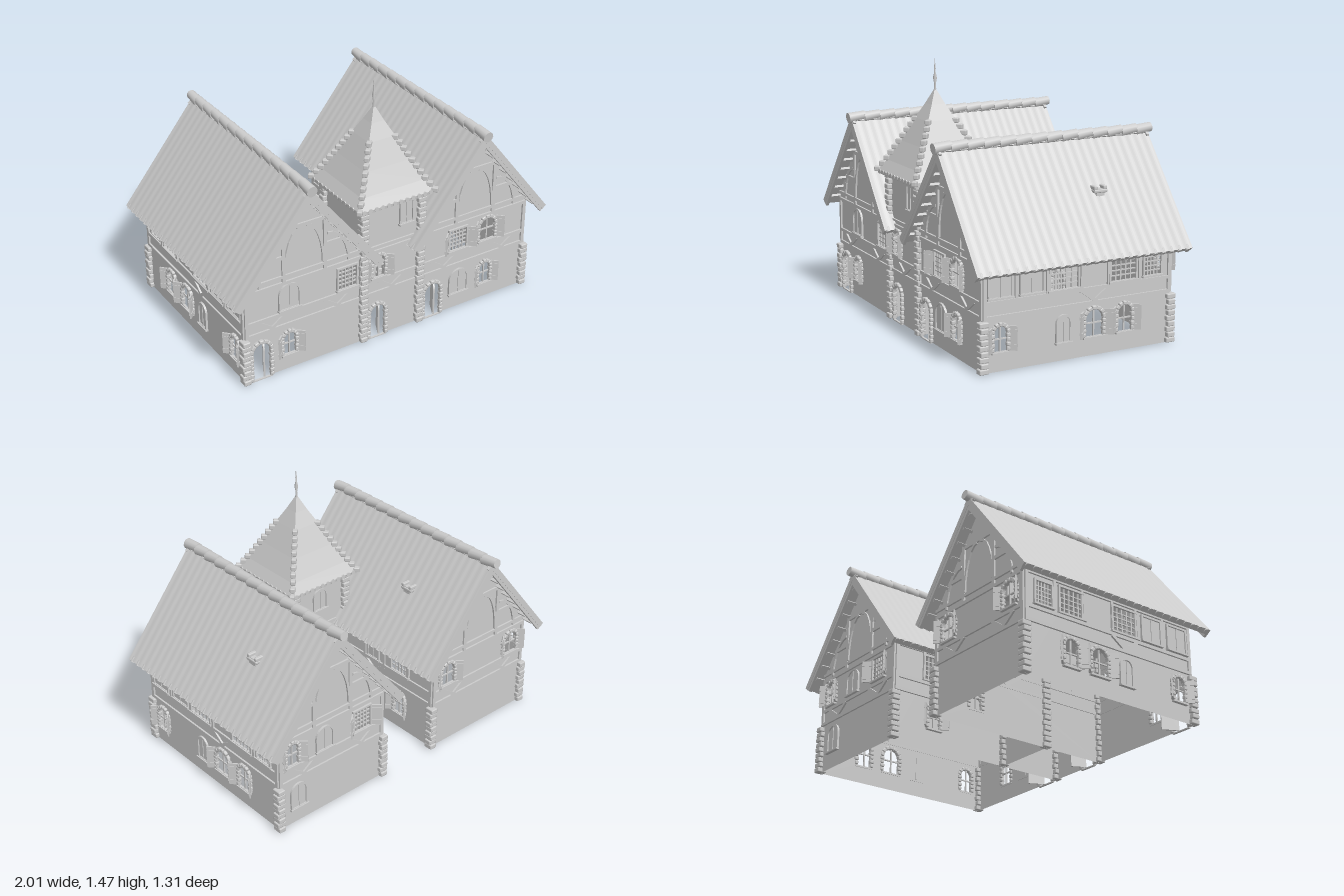
import * as THREE from 'three';
import { mergeGeometries } from 'three/addons/utils/BufferGeometryUtils.js';
import { RoundedBoxGeometry } from 'three/addons/geometries/RoundedBoxGeometry.js';

const stoneGrey = new THREE.MeshStandardMaterial({ color: 0xcccccc, side: THREE.DoubleSide });
stoneGrey.name = 'pale grey';

const CX = 0.548, HALF = 0.36, FRONT = 0.56, BACK = -0.552;   // house footprint
const RISE = 0.565, RUN = 0.452, RIDGE = 1.09;                // roof pitch
const MIDZ = (FRONT + BACK) / 2, DEPTH = FRONT - BACK;
const TOWER_Z = 0.37;

// Collects transformed geometries under part names, merged into one mesh per part
const add = (bin, part, geo, x = 0, y = 0, z = 0, rx = 0, ry = 0, rz = 0) => {
  const g = geo.index ? geo.toNonIndexed() : geo;
  g.clearGroups();
  g.applyMatrix4(new THREE.Matrix4().makeRotationFromEuler(new THREE.Euler(rx, ry, rz)).setPosition(x, y, z));
  (bin[part] ||= []).push(g);
};
const finish = (group, bin) => {
  for (const part in bin) {
    const mesh = new THREE.Mesh(mergeGeometries(bin[part]), stoneGrey);
    mesh.name = part;
    group.add(mesh);
  }
  return group;
};
const box = (w, h, d) => new THREE.BoxGeometry(w, h, d);
const stone = (w, h, d) => new RoundedBoxGeometry(w, h, d, 1, 0.006);
const bar = (bin, x1, y1, x2, y2, w = 0.02, d = 0.012) =>
  add(bin, 'timber', box(Math.hypot(x2 - x1, y2 - y1), w, d), (x1 + x2) / 2, (y1 + y2) / 2, 0.004, 0, 0, Math.atan2(y2 - y1, x2 - x1));

// Round-headed or square opening outline
const outline = (x, y, w, h, round, Kind = THREE.Shape) => {
  const s = new Kind(), r = w / 2;
  s.moveTo(x - r, y); s.lineTo(x + r, y);
  if (round) s.absarc(x, y + h - r, r, 0, Math.PI, false);
  else { s.lineTo(x + r, y + h); s.lineTo(x - r, y + h); }
  s.closePath();
  return s;
};
const plate = (shape, depth) => new THREE.ExtrudeGeometry(shape, { depth, bevelEnabled: false, curveSegments: 8 });

// Opening kinds: shut = arched with open shutters, gridShut, grid, closed, panel, door
function opening(bin, wall, [kind, x, y, w, h]) {
  const round = kind === 'shut' || kind === 'door' || kind === 'closed';
  const hollow = kind !== 'closed' && kind !== 'panel';
  const frame = outline(x, y - 0.005, w + 0.022, h + 0.016, round);
  frame.holes.push(outline(x, y + 0.001, w, h, round, THREE.Path));
  add(bin, 'frames', plate(frame, 0.012), 0, 0, 0);
  if (hollow) wall.holes.push(outline(x, y + 0.001, w, h, round, THREE.Path));
  else {
    add(bin, 'shutters', plate(outline(x, y, w, h, round), 0.005));
    add(bin, 'shutters', box(0.005, h, 0.012), x, y + h / 2, 0.003);
  }
  if (kind.startsWith('grid')) {
    for (let i = 1; i < 5; i++) add(bin, 'bars', box(0.007, h, 0.008), x - w / 2 + (w * i) / 5, y + h / 2, 0);
    for (let i = 1; i < 5; i++) add(bin, 'bars', box(w, 0.006, 0.008), x, y + (h * i) / 5, 0);
  }
  if (kind === 'shut') {
    add(bin, 'bars', box(0.008, h, 0.008), x, y + h / 2, 0);
    add(bin, 'bars', box(w, 0.007, 0.008), x, y + h * 0.5, 0);
  }
  if (kind === 'shut' || kind === 'gridShut') for (const s of [-1, 1]) {
    const a = 0.75, l = Math.max(0.045, w * 0.5), px = x + s * (w / 2 + 0.012 + Math.cos(a) * l / 2), pz = 0.006 + Math.sin(a) * l / 2;
    add(bin, 'shutters', box(l, h * 0.98, 0.008), px, y + h / 2, pz, 0, -s * a);
    for (const t of [0.2, 0.8]) add(bin, 'shutters', box(l, 0.014, 0.014), px, y + h * t, pz, 0, -s * a);
  }
  // stone surround following the jambs and arch
  if (kind === 'shut' || kind === 'door') {
    const r = w / 2 + 0.011, spring = h - w / 2;
    const n = Math.max(3, Math.round(spring / 0.024)), m = 7;
    for (const s of [-1, 1]) for (let i = 0; i < n; i++)
      add(bin, 'surrounds', stone(i % 2 ? 0.026 : 0.02, spring / n - 0.002, 0.026), x + s * r, y + (i + 0.5) * spring / n, 0.004);
    for (let i = 0; i < m; i++) {
      const a = Math.PI * (i + 0.5) / m;
      add(bin, 'surrounds', stone(0.022, Math.PI * r / m, 0.026), x + Math.cos(a) * r, y + spring + Math.sin(a) * r, 0.004, 0, 0, a);
    }
  }
  if (kind === 'door') add(bin, 'doorLeaf', plate(outline(0, 0.002, w * 0.95, h * 0.97, true), 0.01), x + w * 0.32, y, -0.04, 0, 1.1);
  if (kind !== 'door') add(bin, 'sills', box(w + 0.03, 0.01, 0.022), x, y - 0.006, 0.008);
}

// One wall with openings and timbering; local x runs right, z points outward
function facade(name, w, h, peak, openings, x, z, turn, extra) {
  const group = new THREE.Group(), bin = {}, r = w / 2;
  const wall = new THREE.Shape([[-r, 0], [r, 0], [r, h], ...(peak ? [[0, peak]] : []), [-r, h]].map(p => new THREE.Vector2(...p)));
  openings.forEach(o => opening(bin, wall, o));
  add(bin, 'wall', new THREE.ShapeGeometry(wall, 8));
  for (const y of [0.285, 0.36, 0.545]) bar(bin, -r, y, r, y, 0.018);
  for (const s of [-1, 1]) bar(bin, s * (r - 0.01), 0.28, s * (r - 0.01), 0.55);
  extra?.(bin, r);
  finish(group, bin);
  group.name = name;
  group.position.set(x, 0, z);
  group.rotation.y = turn;
  return group;
}
const chevron = (bin, x) => { for (const s of [-1, 1]) bar(bin, x, 0.295, x + s * 0.085, 0.355, 0.018); };

// Gable timbers: posts, collar, side rails, curved braces
const gableTimber = (bin) => {
  chevron(bin, -0.2); chevron(bin, 0.2);
  bar(bin, -0.13, 0.86, 0.13, 0.86); bar(bin, -HALF, 0.585, HALF, 0.585, 0.016);
  for (const s of [-1, 1]) {
    bar(bin, s * 0.125, 0.55, s * 0.125, 0.88);
    bar(bin, s * 0.125, 0.7, s * 0.25, 0.7);
    for (let i = 0; i < 6; i++) {
      const p = t => [s * (0.115 - 0.1 * (1 - Math.cos(t))), 0.6 + 0.25 * Math.sin(t)];
      const q = t => [s * (0.27 - 0.13 * (1 - Math.cos(t))), 0.56 + 0.2 * Math.sin(t)];
      const a = i * Math.PI / 12, b = (i + 1) * Math.PI / 12;
      bar(bin, ...p(a), ...p(b), 0.014); bar(bin, ...q(a), ...q(b), 0.014);
    }
  }
};

// Alternating corner stones
const quoin = (bin, x, z, height) => {
  const n = Math.round(height / 0.031);
  for (let i = 0; i < n; i++) {
    const k = i % 2 ? 0.054 : 0.044;
    add(bin, 'cornerStones', stone(k, height / n - 0.002, 0.098 - k), x, (i + 0.5) * height / n, z);
  }
};

// Pitched roof with tile ribs, eave tiles, bargeboards, ridge tiles and a small chimney
function roof() {
  const group = new THREE.Group(), bin = {}, L = Math.hypot(RUN, RISE), waves = 25, half = 0.63;
  for (const s of [-1, 1]) {
    const D = new THREE.Vector3(s * RUN / L, -RISE / L, 0), N = new THREE.Vector3(s * RISE / L, RUN / L, 0);
    const X = N.clone().cross(D);
    const place = new THREE.Matrix4().makeBasis(X, N, D).setPosition(0, RIDGE, 0.005);
    const put = (part, geo, x, y, z) => { geo.translate(x, y, z).applyMatrix4(place); add(bin, part, geo); };
    const pts = [new THREE.Vector2(half, -0.03), new THREE.Vector2(-half, -0.03)];
    for (let i = 0; i <= waves * 6; i++)
      pts.push(new THREE.Vector2(-half + 2 * half * i / (waves * 6), 0.0008 * Math.cos(i * Math.PI / 3)));
    put('roofSlope', plate(new THREE.Shape(pts), L), 0, 0, 0);
    for (let i = 0; i < waves; i++)
      put('eaveTiles', new THREE.CylinderGeometry(0.014, 0.014, 0.03, 8).rotateX(Math.PI / 2), -half + (i + 0.5) * 2 * half / waves, -0.012, L - 0.01);
    for (const e of [-1, 1]) {
      put('bargeboards', box(0.016, 0.045, L), e * (half - 0.01), -0.025, L / 2);
      for (let i = 1; i < 9; i++) put('purlinEnds', box(0.06, 0.016, 0.016), e * (half - 0.045), -0.045, i * L / 9);
    }
  }
  const n = 14;
  for (let i = 0; i < n; i++)
    add(bin, 'ridgeTiles', new THREE.CylinderGeometry(0.031, 0.026, 0.1, 12).rotateX(Math.PI / 2), 0, 1.089, -0.6 + i * 1.2 / (n - 1), 0.12);
  add(bin, 'chimney', box(0.045, 0.13, 0.05), 0.208, 0.775, -0.195);
  add(bin, 'chimney', stone(0.06, 0.018, 0.08), 0.208, 0.828, -0.195);
  for (const e of [-1, 1]) add(bin, 'chimney', stone(0.055, 0.022, 0.022), 0.208, 0.845, -0.195 + e * 0.028);
  group.name = 'roof';
  return finish(group, bin);
}

// Long side openings, listed for the right-hand wall
const sideOpenings = [
  ['shut', -0.46, 0.105, 0.07, 0.13], ['closed', -0.095, 0.1, 0.07, 0.135], ['shut', 0.085, 0.105, 0.1, 0.14],
  ['shut', 0.27, 0.105, 0.08, 0.14], ['panel', -0.46, 0.385, 0.12, 0.13], ['panel', -0.28, 0.385, 0.12, 0.13],
  ['grid', -0.095, 0.38, 0.16, 0.135], ['grid', 0.26, 0.38, 0.15, 0.135], ['grid', 0.44, 0.385, 0.1, 0.12]];
const innerOpenings = [['shut', 0.3, 0.105, 0.07, 0.13], ['grid', 0.3, 0.38, 0.13, 0.135], ['closed', 0.08, 0.38, 0.08, 0.13]];
const flip = list => list.map(([k, x, ...r]) => [k, -x, ...r]);

function house(name, side, frontOpenings, backOpenings) {
  const group = new THREE.Group(), bin = {}, q = Math.PI / 2, cx = side * CX;
  const shift = (list, s) => list.map(([k, x, ...r]) => [k, s * (x - cx), ...r]);
  const studs = b => { chevron(b, 0.09); for (const x of [-0.37, -0.19, 0.01, 0.17, 0.36]) bar(b, x, 0.36, x, 0.545, 0.014); };
  const east = side > 0 ? sideOpenings : innerOpenings, west = flip(side > 0 ? innerOpenings : sideOpenings);
  group.add(
    facade('frontGable', HALF * 2, 0.6, 1.05, shift(frontOpenings, 1), cx, FRONT, 0, gableTimber),
    facade('backGable', HALF * 2, 0.6, 1.05, shift(backOpenings, -1), cx, BACK, Math.PI, gableTimber),
    facade('rightWall', DEPTH, 0.6, 0, east, cx + HALF, MIDZ, q, studs),
    facade('leftWall', DEPTH, 0.6, 0, west, cx - HALF, MIDZ, -q, studs));
  for (const s of [-1, 1]) {
    quoin(bin, cx + s * HALF, BACK, 0.27);
    if (s === side) quoin(bin, cx + s * HALF, FRONT, 0.27);
  }
  const top = roof();
  top.position.x = cx;
  group.add(top);
  group.name = name;
  return finish(group, bin);
}

function tower() {
  const group = new THREE.Group(), bin = {}, q = Math.PI / 2, r = 0.183, H = 0.83;
  group.add(
    facade('towerFront', 2 * r, H, 0, [['door', -0.09, 0.002, 0.09, 0.2], ['shut', -0.085, 0.385, 0.07, 0.13], ['panel', 0.09, 0.67, 0.07, 0.125]],
      0, FRONT - 0.001, 0, b => { chevron(b, 0); bar(b, -r, 0.575, r, 0.575, 0.012); }),
    facade('towerBack', 2 * r, H, 0, [['closed', 0, 0.66, 0.08, 0.12], ['closed', 0, 0.38, 0.08, 0.13]], 0, TOWER_Z - 0.19, Math.PI),
    facade('towerRight', 0.378, H, 0, [], r, TOWER_Z, q),
    facade('towerLeft', 0.378, H, 0, [], -r, TOWER_Z, -q));
  for (const s of [-1, 1]) { quoin(bin, s * r, FRONT, H); quoin(bin, s * r, TOWER_Z - 0.19, H); }
  // flared four-sided roof and soffit
  const profile = [[0, 0.822], [0.238, 0.822], [0.24, 0.84], [0.2, 0.9], [0.143, 1.01], [0.082, 1.14], [0.04, 1.222], [0.004, 1.3]];
  const lathe = new THREE.LatheGeometry(profile.map(([a, y]) => new THREE.Vector2(a * Math.SQRT2, y)), 4, Math.PI / 4).toNonIndexed();
  lathe.computeVertexNormals();
  add(bin, 'towerRoof', lathe, 0, 0, TOWER_Z);
  for (const sx of [-1, 1]) for (const sz of [-1, 1]) for (let i = 0; i < 10; i++) {
    const t = i / 9, k = 0.238 - 0.156 * Math.pow(t, 0.93);
    add(bin, 'hipTiles', stone(0.03, 0.028, 0.036), sx * k, 0.845 + 0.29 * t, TOWER_Z + sz * k, 0, sx * sz * Math.PI / 4);
  }
  for (let i = 0; i < 12; i++) for (const s of [-1, 1]) {
    const u = -0.21 + i * 0.42 / 11;
    add(bin, 'towerEaveTiles', new THREE.CylinderGeometry(0.013, 0.013, 0.02, 8), u, 0.835, TOWER_Z + s * 0.232, q);
    add(bin, 'towerEaveTiles', new THREE.CylinderGeometry(0.013, 0.013, 0.02, 8), s * 0.232, 0.835, TOWER_Z + u, 0, 0, q);
  }
  const spike = [[0.008, 1.28], [0.005, 1.33], [0.011, 1.36], [0.004, 1.39], [0.005, 1.41], [0, 1.465]];
  add(bin, 'finial', new THREE.LatheGeometry(spike.map(p => new THREE.Vector2(...p)), 10), 0, 0, TOWER_Z);
  group.name = 'tower';
  return finish(group, bin);
}

export function createModel() {
  const model = new THREE.Group();
  model.name = 'timberFramedHouses';
  model.add(
    house('rightHandHouse', -1,
      [['door', -0.815, 0.002, 0.1, 0.22], ['shut', -0.645, 0.1, 0.07, 0.13], ['closed', -0.64, 0.385, 0.11, 0.14], ['grid', -0.285, 0.385, 0.11, 0.125]],
      [['shut', -0.3, 0.385, 0.09, 0.13], ['shut', -0.8, 0.385, 0.09, 0.13]]),
    house('leftHandHouse', 1,
      [['door', 0.275, 0.002, 0.1, 0.21], ['closed', 0.455, 0.1, 0.11, 0.14], ['shut', 0.635, 0.1, 0.07, 0.13],
        ['gridShut', 0.44, 0.385, 0.11, 0.125], ['shut', 0.64, 0.385, 0.1, 0.135]],
      [['closed', 0.78, 0.1, 0.09, 0.14], ['shut', 0.82, 0.385, 0.07, 0.13], ['closed', 0.6, 0.385, 0.1, 0.13], ['gridShut', 0.34, 0.385, 0.11, 0.125]]),
    tower());
  return model;
}
